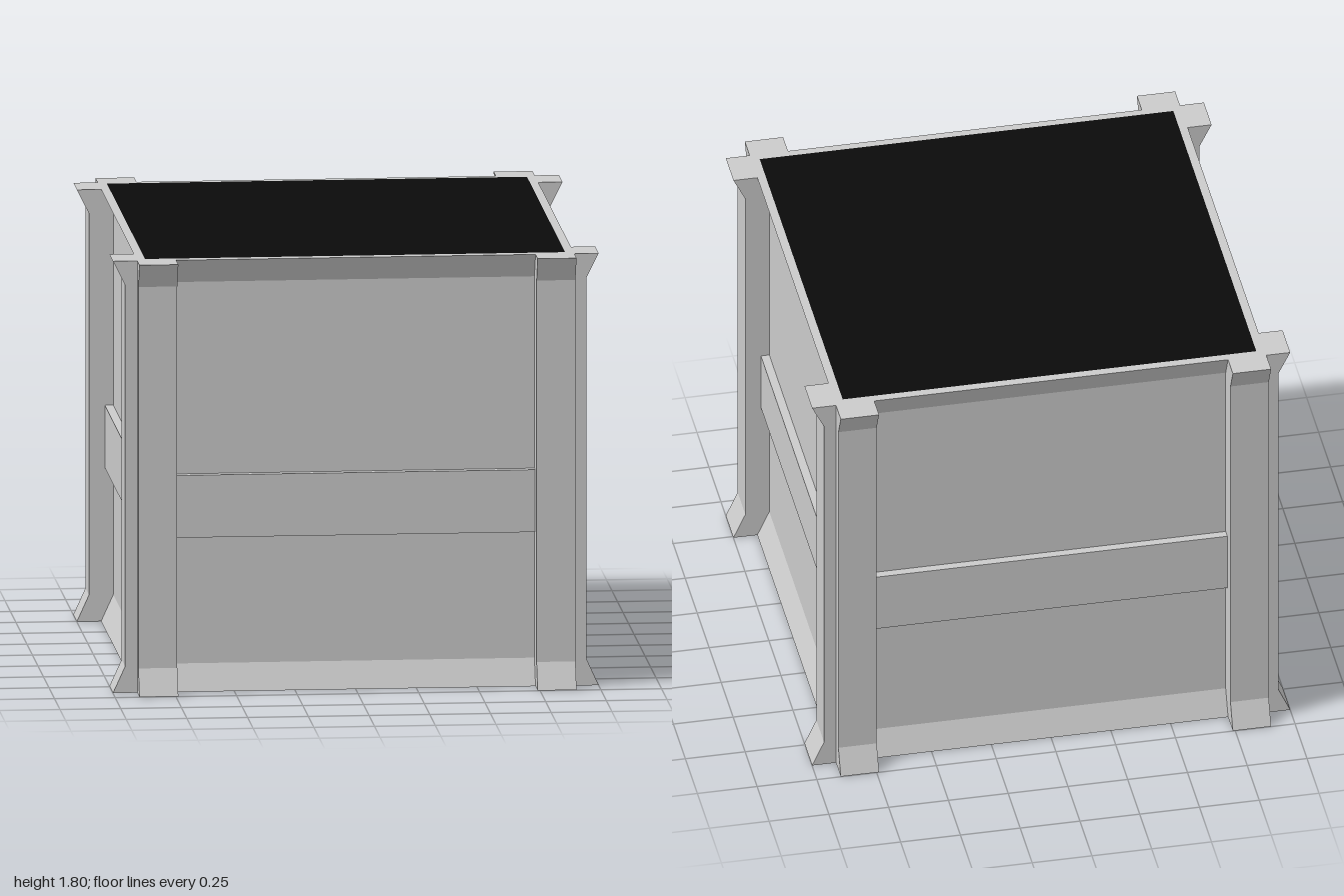
import * as THREE from 'three';

const H = 1.8;

// Upright strip whose outer face flares out at head and foot, spanning x0..x1
function flaredStrip(inner, mid, outer, x0, x1) {
  const shape = new THREE.Shape([
    [inner, 0], [outer, 0], [mid, 0.11], [mid, H - 0.1], [outer, H], [inner, H],
  ].map(([z, y]) => new THREE.Vector2(z, y)));
  const geo = new THREE.ExtrudeGeometry(shape, { depth: x1 - x0, bevelEnabled: false });
  return geo.rotateY(-Math.PI / 2).translate(x1, 0, 0);
}

export function createModel() {
  const crate = new THREE.Group();
  crate.name = 'crate';
  const grey = new THREE.MeshStandardMaterial({ color: 0xcccccc, flatShading: true });
  const black = new THREE.MeshStandardMaterial({ color: 0x0a0a0a });

  const add = (parent, name, geometry, material = grey) => {
    const mesh = new THREE.Mesh(geometry, material);
    mesh.name = name;
    parent.add(mesh);
    return mesh;
  };

  // Four identical sides: panel, cross rail and the two corner post flanges
  const panelGeo = flaredStrip(0.8, 0.85, 0.9, -0.8, 0.8);
  const postGeos = [flaredStrip(0.8, 0.95, 1, 0.74, 0.9), flaredStrip(0.8, 0.95, 1, -0.9, -0.74)];
  const railGeo = new THREE.BoxGeometry(1.48, 0.26, 0.085).translate(0, 0.77, 0.8425);
  ['front', 'left', 'back', 'right'].forEach((label, i) => {
    const side = new THREE.Group();
    side.name = `${label}Side`;
    side.rotation.y = i * Math.PI / 2;
    add(side, 'panel', panelGeo);
    add(side, 'crossRail', railGeo);
    postGeos.forEach((geo) => add(side, 'cornerPost', geo));
    crate.add(side);
  });

  // Dark top inside the rim, and dark underside
  const top = add(crate, 'topCover', new THREE.PlaneGeometry(1.73, 1.73).rotateX(-Math.PI / 2), black);
  top.position.y = H + 0.001;
  const base = add(crate, 'underside', new THREE.PlaneGeometry(1.8, 1.8).rotateX(Math.PI / 2), black);
  base.position.y = -0.001;

  return crate;
}
